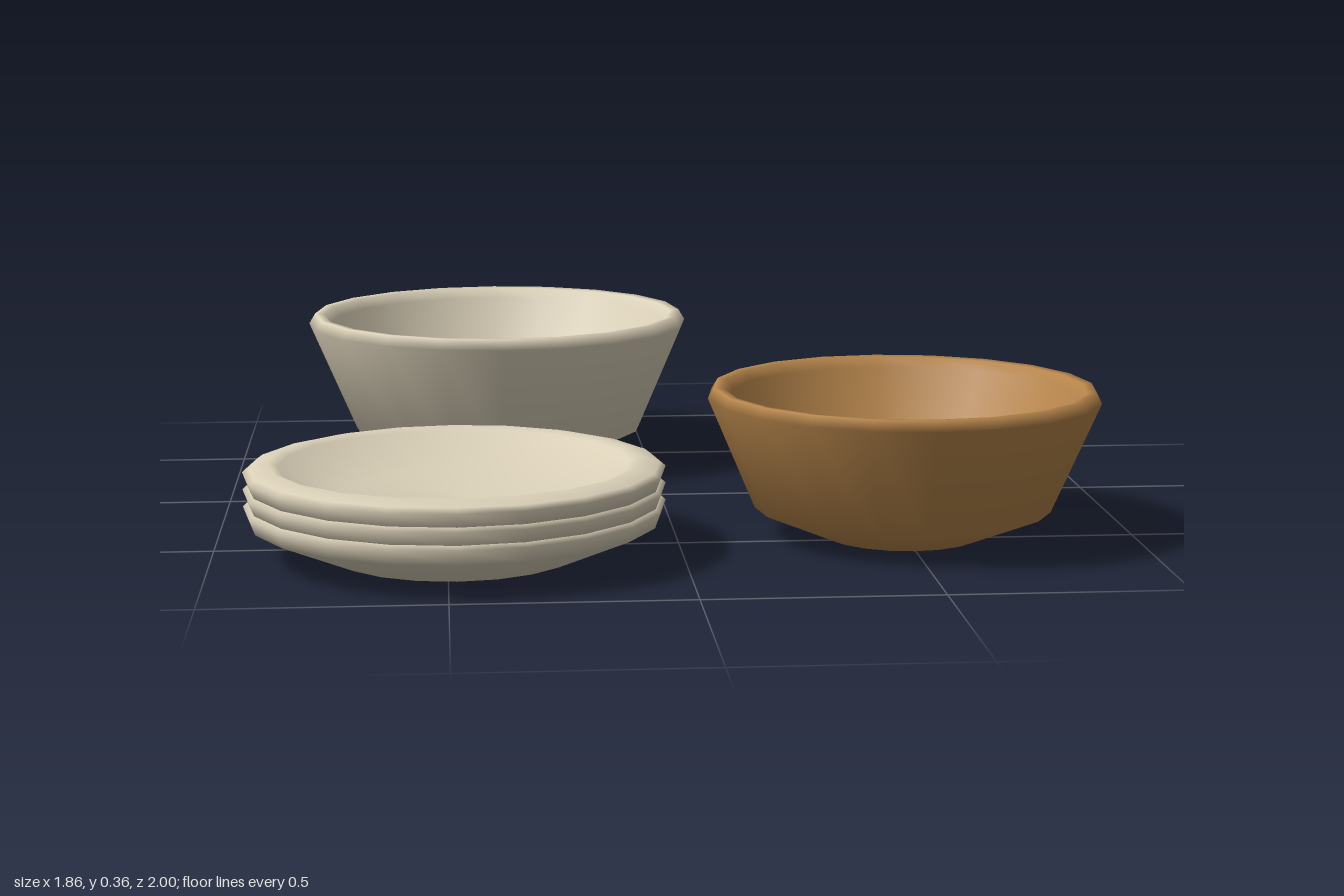
import * as THREE from 'three';

const cream = new THREE.MeshStandardMaterial({ color: 0xdbd1b9 });
cream.name = 'cream ceramic';
const wood = new THREE.MeshStandardMaterial({ color: 0xb5844a });
wood.name = 'warm wood';

const SIDES = 20;

// Profiles run from the underside centre, over the rim, to the inner centre.
const bowlProfile = [
  [0, 0], [0.19, 0], [0.355, 0.07], [0.468, 0.335], [0.453, 0.36],
  [0.432, 0.358], [0.415, 0.335], [0.28, 0.085], [0.17, 0.05], [0, 0.045],
];
const plateProfile = [
  [0, 0], [0.265, 0], [0.438, 0.075], [0.45, 0.108], [0.437, 0.118],
  [0.395, 0.128], [0.375, 0.12], [0.25, 0.056], [0, 0.046],
];

function turned(name, profile, material, scale = 1) {
  const points = profile.map(([r, y]) => new THREE.Vector2(r * scale, y * scale));
  const mesh = new THREE.Mesh(new THREE.LatheGeometry(points, SIDES), material);
  mesh.name = name;
  return mesh;
}

export function createModel() {
  const group = new THREE.Group();
  group.name = 'tableware';

  // Large ceramic bowl at the back
  const largeBowl = turned('largeBowl', bowlProfile, cream);
  largeBowl.position.set(-0.365, 0, -0.532);
  group.add(largeBowl);

  // Smaller wooden bowl of the same shape
  const woodenBowl = turned('woodenBowl', bowlProfile, wood, 0.918);
  woodenBowl.position.set(0.498, 0, 0.445);
  group.add(woodenBowl);

  // Stack of three nested plates
  const stack = new THREE.Group();
  stack.name = 'plateStack';
  for (let i = 0; i < 3; i++) {
    const plate = turned(`plate${i + 1}`, plateProfile, cream);
    plate.position.y = i * 0.037;
    stack.add(plate);
  }
  stack.position.set(-0.482, 0, 0.548);
  group.add(stack);

  return group;
}
